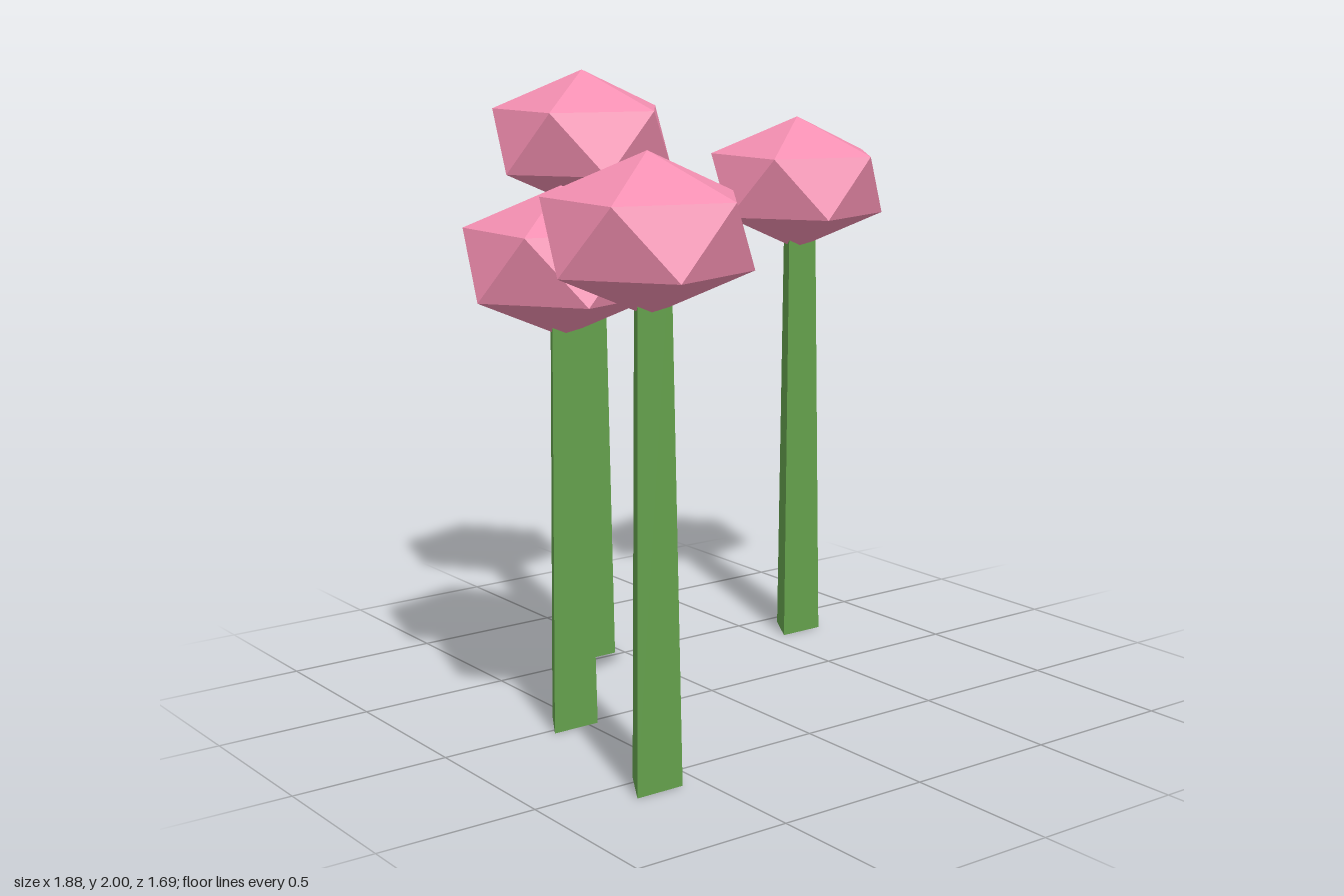
import * as THREE from 'three';

const STEM_RADIUS = 0.092;
const HEAD_RADIUS = 0.33;

export function createModel() {
  const group = new THREE.Group();
  const green = new THREE.MeshStandardMaterial({ color: 0x64a04c, flatShading: true });
  const pink = new THREE.MeshStandardMaterial({ color: 0xf48fb1, flatShading: true });

  // Flattened icosahedron standing on one of its corners
  const headGeometry = new THREE.IcosahedronGeometry(HEAD_RADIUS, 0);
  headGeometry.rotateZ(-Math.atan(2 / (1 + Math.sqrt(5))));
  headGeometry.scale(1, 0.69, 1);
  headGeometry.computeVertexNormals();

  // x, z and height of each head's centre
  const flowers = [
    [-0.645, 0.562, 1.602],
    [-0.548, -0.02, 1.458],
    [-0.11, -0.563, 1.772],
    [0.641, -0.363, 1.602],
  ];

  for (const [x, z, height] of flowers) {
    const flower = new THREE.Group();
    flower.name = 'flower';
    flower.position.set(x, 0, z);

    // Tapered three-sided stem, flat side to the front
    const stemGeometry = new THREE.CylinderGeometry(
      STEM_RADIUS * 0.7, STEM_RADIUS, height, 3, 1, false, Math.PI);
    const stem = new THREE.Mesh(stemGeometry, green);
    stem.name = 'stem';
    stem.position.y = height / 2;

    const head = new THREE.Mesh(headGeometry, pink);
    head.name = 'flowerHead';
    head.position.y = height;

    flower.add(stem, head);
    group.add(flower);
  }
  return group;
}
